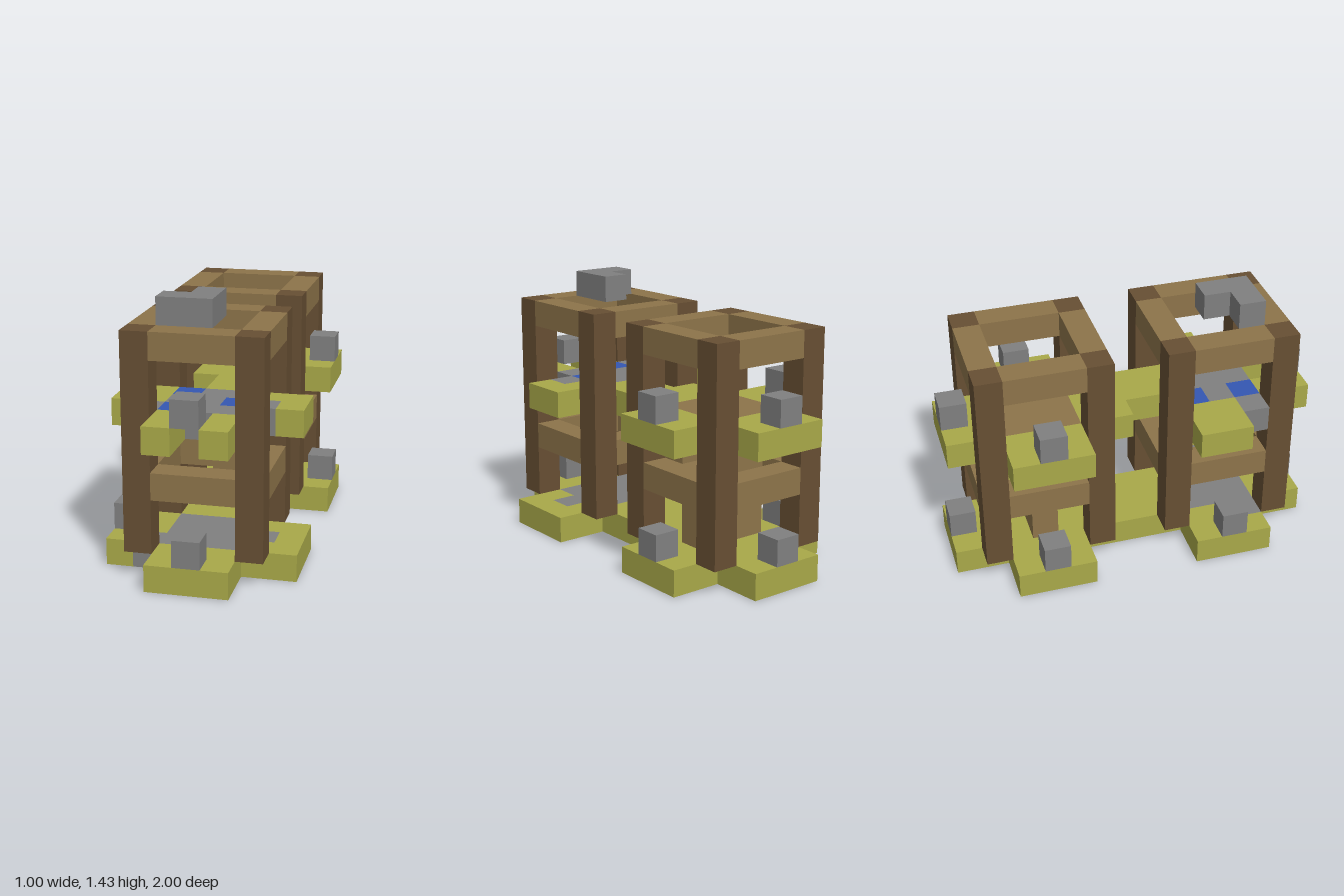
import * as THREE from 'three';

const U = 1 / 7; // one block

function mat(name, color) {
  const m = new THREE.MeshStandardMaterial({ color });
  m.name = name;
  return m;
}

export function createModel() {
  const moss = mat('mossGreen', 0xa9a949);
  const stone = mat('stoneGray', 0x808080);
  const plank = mat('plankBrown', 0x8d744a);
  const log = mat('darkLogBrown', 0x674f33);
  const blue = mat('blue', 0x3457b2);

  const model = new THREE.Group();
  model.name = 'twinTowers';

  // Box covering inclusive block ranges [first, last] or a single index
  function box(parent, name, material, x, y, z) {
    const [a, b, c] = [x, y, z].map((r) => (Array.isArray(r) ? r : [r, r]));
    const g = new THREE.BoxGeometry((a[1] - a[0] + 1) * U, (b[1] - b[0] + 1) * U, (c[1] - c[0] + 1) * U);
    const mesh = new THREE.Mesh(g, material);
    mesh.name = name;
    mesh.position.set(((a[0] + a[1] + 1) / 2 - 3.5) * U, ((b[0] + b[1] + 1) / 2) * U, ((c[0] + c[1] + 1) / 2 - 7) * U);
    parent.add(mesh);
  }
  function group(name) {
    const g = new THREE.Group();
    g.name = name;
    model.add(g);
    return g;
  }

  // Timber frames: four posts and two rings of beams per tower
  for (const [name, z] of [['backTowerFrame', 1], ['frontTowerFrame', 8]]) {
    const g = group(name);
    for (const x of [1, 5]) for (const dz of [0, 4]) box(g, 'post', log, x, [1, 8], z + dz);
    for (const y of [3, 8]) {
      for (const x of [1, 5]) box(g, 'sideBeam', plank, x, y, [z + 1, z + 3]);
      for (const dz of [0, 4]) box(g, 'crossBeam', plank, [2, 4], y, z + dz);
    }
  }

  // Ground slab, with a stone patch under the front tower
  const ground = group('groundSlab');
  box(ground, 'walkway', moss, [2, 4], 0, [0, 8]);
  box(ground, 'frontStep', moss, [2, 4], 0, [12, 13]);
  for (const x of [[0, 1], [5, 6]]) box(ground, 'backWing', moss, x, 0, [2, 4]);
  box(ground, 'rightWing', moss, [0, 1], 0, [9, 10]);
  box(ground, 'rightWingEnd', moss, 0, 0, 11);
  box(ground, 'leftWingEdge', moss, 6, 0, [9, 11]);
  for (const z of [9, 11]) box(ground, 'leftWing', moss, 5, 0, z);
  box(ground, 'stonePatch', stone, [2, 4], 0, [9, 11]);
  box(ground, 'stonePatchRight', stone, 1, 0, 11);
  box(ground, 'stonePatchLeft', stone, 5, 0, 10);

  // Upper floor of the back tower, with balconies and bridge
  const upper = group('upperFloor');
  box(upper, 'plankFloor', plank, [2, 4], 5, [2, 4]);
  box(upper, 'backBalcony', moss, [2, 4], 5, [0, 1]);
  for (const x of [[0, 1], [5, 6]]) box(upper, 'sideBalcony', moss, x, 5, [2, 4]);
  box(upper, 'bridge', moss, [2, 4], 5, [5, 6]);
  box(upper, 'bridgeEnd', moss, [3, 4], 5, [7, 8]);

  // Broken upper floor of the front tower
  box(upper, 'rightBalcony', moss, [0, 1], 5, [9, 10]);
  box(upper, 'leftBalcony', moss, 6, 5, [9, 10]);
  box(upper, 'leftBalconyInner', moss, 5, 5, 9);
  for (const x of [2, 4]) box(upper, 'frontBalcony', moss, x, 5, [12, 13]);
  box(upper, 'stoneLeft', stone, 5, 5, 10);
  box(upper, 'stoneRight', stone, 1, 5, 11);
  const inlay = [[2, 9], [4, 10], [2, 11]];
  for (let x = 2; x <= 4; x++) for (let z = 9; z <= 11; z++) {
    const isBlue = inlay.some(([a, b]) => a === x && b === z);
    box(upper, isBlue ? 'blueTile' : 'stoneTile', isBlue ? blue : stone, x, 5, z);
  }

  // Inner partition of the back tower
  const wall = group('partition');
  box(wall, 'wall', plank, [2, 4], [1, 3], 3);
  box(wall, 'wallTop', plank, [2, 3], 4, 3);
  box(wall, 'lintel', plank, [2, 4], 4, 4);

  // Stone merlons on the ledges
  const merlons = group('merlons');
  for (const y of [1, 6]) {
    for (const [x, z] of [[0, 3], [6, 3], [3, 0], [3, 13]]) box(merlons, 'merlon', stone, x, y, z);
  }
  box(merlons, 'merlon', stone, 0, 1, 10);

  // Loose L-shaped stone on top of the front tower
  const loose = group('looseStone');
  box(loose, 'longArm', stone, [2, 3], 9, 11);
  box(loose, 'shortArm', stone, 3, 9, 10);

  return model;
}
